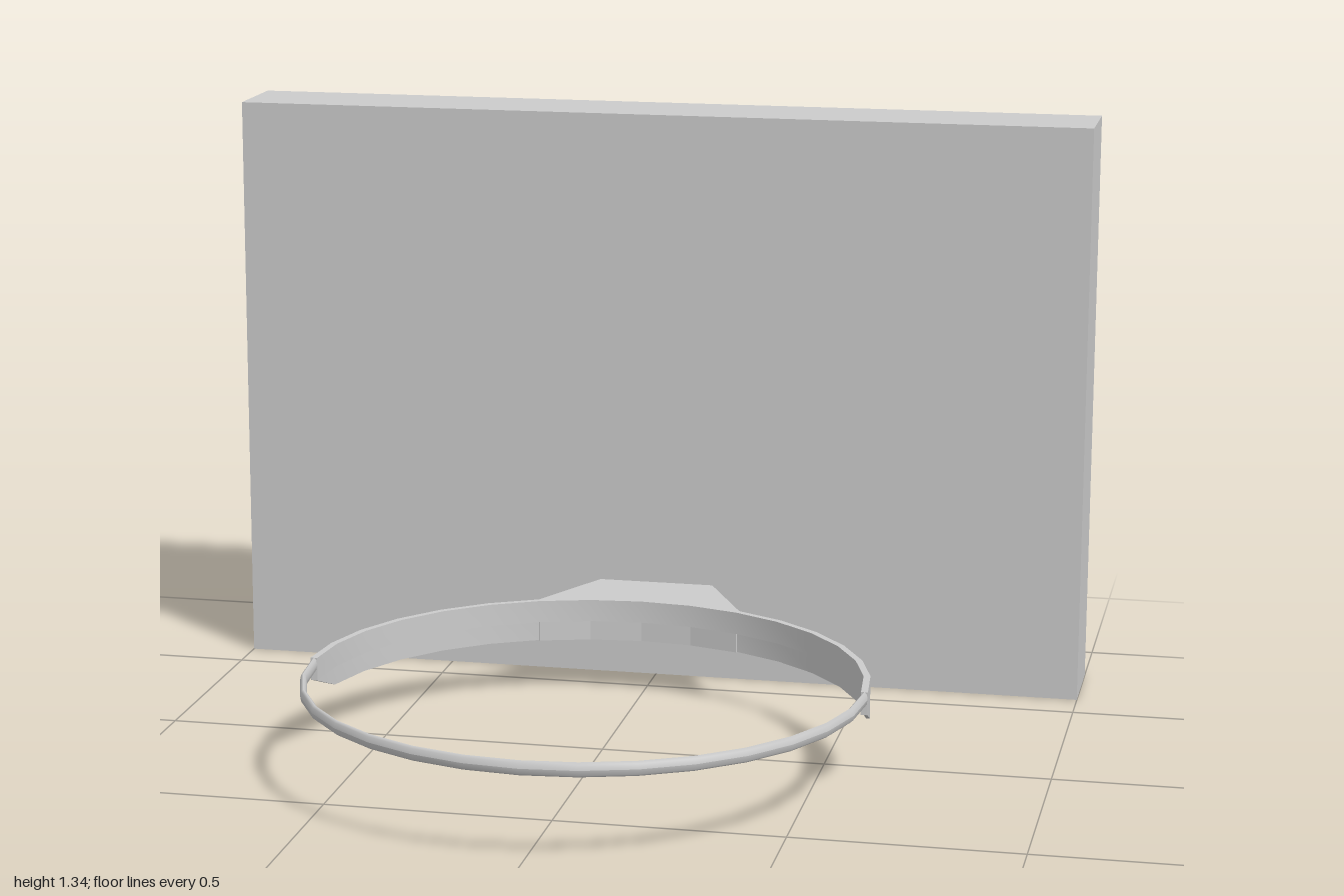
import * as THREE from 'three';
import { toCreasedNormals } from 'three/addons/utils/BufferGeometryUtils.js';

const SIDES = 32;
const CENTER_Z = 0.18;
const R_OUT = 0.62, R_MID = 0.612, R_IN = 0.605;
const TOP = 0.226, STEP = 0.175, BOTTOM = 0.13;

const grey = () => new THREE.MeshStandardMaterial({ color: 0xcccccc });

function mesh(name, geometry) {
  const m = new THREE.Mesh(geometry, grey());
  m.name = name;
  return m;
}

function rect(path, x0, y0, x1, y1) {
  path.moveTo(x0, y0);
  path.lineTo(x1, y0);
  path.lineTo(x1, y1);
  path.lineTo(x0, y1);
  path.closePath();
  return path;
}

// Board: solid front panel with a raised frame around its back
function createBoard() {
  const board = new THREE.Group();
  board.name = 'backboard';
  const height = 1.34, front = -0.6, inner = -0.72, back = -0.805, rim = 0.06;

  const panel = new THREE.BoxGeometry(2, height, front - inner);
  panel.translate(0, height / 2, (front + inner) / 2);
  board.add(mesh('boardPanel', panel));

  const outline = rect(new THREE.Shape(), -1, 0, 1, height);
  outline.holes.push(rect(new THREE.Path(), -1 + rim, rim, 1 - rim, height - rim));
  const frame = new THREE.ExtrudeGeometry(outline, { depth: inner - back, bevelEnabled: false });
  frame.translate(0, 0, back);
  board.add(mesh('backFrame', frame));
  return board;
}

// Thin hoop with an upright oval section
function createHoop() {
  const profile = [];
  for (let i = 0; i <= 8; i++) {
    const a = (i / 8) * Math.PI * 2;
    profile.push(new THREE.Vector2(
      (R_OUT + R_IN) / 2 + Math.cos(a) * (R_OUT - R_IN) / 2,
      0.21 + Math.sin(a) * 0.016));
  }
  const geometry = new THREE.LatheGeometry(profile, SIDES);
  geometry.translate(0, 0, CENTER_Z);
  return mesh('hoop', geometry);
}

// Stepped band around the back half of the hoop, with cut-off ends
function createBand() {
  const positions = [], index = [];
  const steps = SIDES / 2, n = 6;
  for (let i = 0; i <= steps; i++) {
    const a = (i / steps) * Math.PI;
    const low = i === 0 || i === steps ? STEP : BOTTOM;
    const section = [[R_OUT, TOP], [R_IN, TOP], [R_IN, STEP], [R_MID, STEP], [R_MID, low], [R_OUT, low]];
    for (const [r, y] of section) {
      positions.push(r * Math.cos(a), y, CENTER_Z - r * Math.sin(a));
    }
  }
  for (let i = 0; i < steps; i++) {
    for (let j = 0; j < n; j++) {
      const a = i * n + j, b = i * n + (j + 1) % n;
      index.push(a, a + n, b, b, a + n, b + n);
    }
  }
  // End caps
  const e = steps * n;
  index.push(0, 1, 2, 0, 2, 5, e, e + 2, e + 1, e, e + 5, e + 2);

  const geometry = new THREE.BufferGeometry();
  geometry.setAttribute('position', new THREE.Float32BufferAttribute(positions, 3));
  geometry.setIndex(index);
  return mesh('supportBand', toCreasedNormals(geometry, 0.35));
}

// Tapered neck from the board to the hoop
function createNeck() {
  const shape = new THREE.Shape();
  shape.moveTo(0.13, 0.61);
  shape.lineTo(-0.13, 0.61);
  shape.lineTo(-0.237, 0.393);
  for (let i = 10; i >= 6; i--) {
    const a = (i / SIDES) * Math.PI * 2;
    shape.lineTo(0.607 * Math.cos(a), 0.607 * Math.sin(a) - CENTER_Z);
  }
  shape.lineTo(0.237, 0.393);
  shape.closePath();
  const geometry = new THREE.ExtrudeGeometry(shape, { depth: TOP - BOTTOM, bevelEnabled: false });
  geometry.rotateX(-Math.PI / 2);
  geometry.translate(0, BOTTOM, 0);
  return mesh('neck', geometry);
}

export function createModel() {
  const model = new THREE.Group();
  model.name = 'hoopAndBackboard';
  model.add(createBoard(), createHoop(), createBand(), createNeck());
  return model;
}
